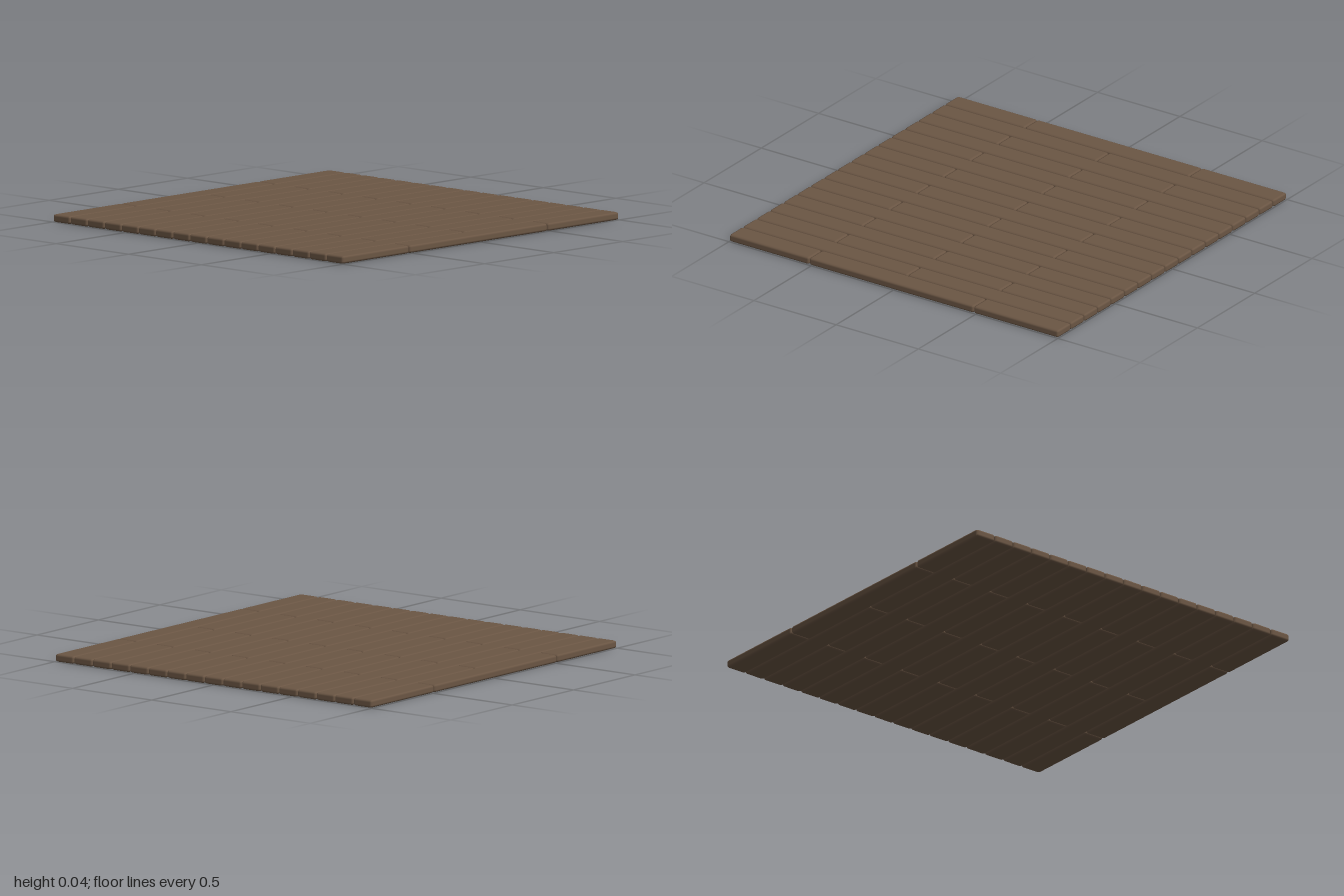
import * as THREE from 'three';
import { RoundedBoxGeometry } from 'three/addons/geometries/RoundedBoxGeometry.js';

const COLUMNS = 17;
const THICKNESS = 0.04;
const BEVEL = 0.012;
const GAP = 0.002;

// One plank with a single soft bevel, fitted exactly to its size and resting on y = 0.
function plankGeometry(width, length) {
  const geometry = new RoundedBoxGeometry(width, THICKNESS, length, 1, BEVEL);
  geometry.computeBoundingBox();
  const size = geometry.boundingBox.getSize(new THREE.Vector3());
  const position = geometry.attributes.position;
  for (let i = 0; i < position.count; i++) {
    position.setXYZ(
      i,
      position.getX(i) * width / size.x,
      position.getY(i) * THICKNESS / size.y + THICKNESS / 2,
      position.getZ(i) * length / size.z
    );
  }
  geometry.computeBoundingBox();
  geometry.computeBoundingSphere();
  return geometry;
}

export function createModel() {
  const floor = new THREE.Group();
  floor.name = 'plankFloor';
  const wood = new THREE.MeshStandardMaterial({ color: 0x6b5644 });
  wood.name = 'brownWood';

  // Staggered end joints, alternating from column to column.
  const joints = [[-1, -0.485, 0.515, 1], [-1, -0.002, 1]];
  const pitch = 2 / COLUMNS;
  const patterns = joints.map((ends) =>
    ends.slice(1).map((end, i) => {
      const front = end === 1 ? 1 : end - GAP / 2;
      const back = ends[i] === -1 ? -1 : ends[i] + GAP / 2;
      return { z: (front + back) / 2, geometry: plankGeometry(pitch - GAP, front - back) };
    })
  );

  for (let column = 0; column < COLUMNS; column++) {
    const row = new THREE.Group();
    row.name = `plankColumn${column + 1}`;
    row.position.x = -1 + pitch * (column + 0.5);
    patterns[column % 2].forEach(({ z, geometry }, i) => {
      const plank = new THREE.Mesh(geometry, wood);
      plank.name = `plank${i + 1}`;
      plank.position.z = z;
      row.add(plank);
    });
    floor.add(row);
  }
  return floor;
}
